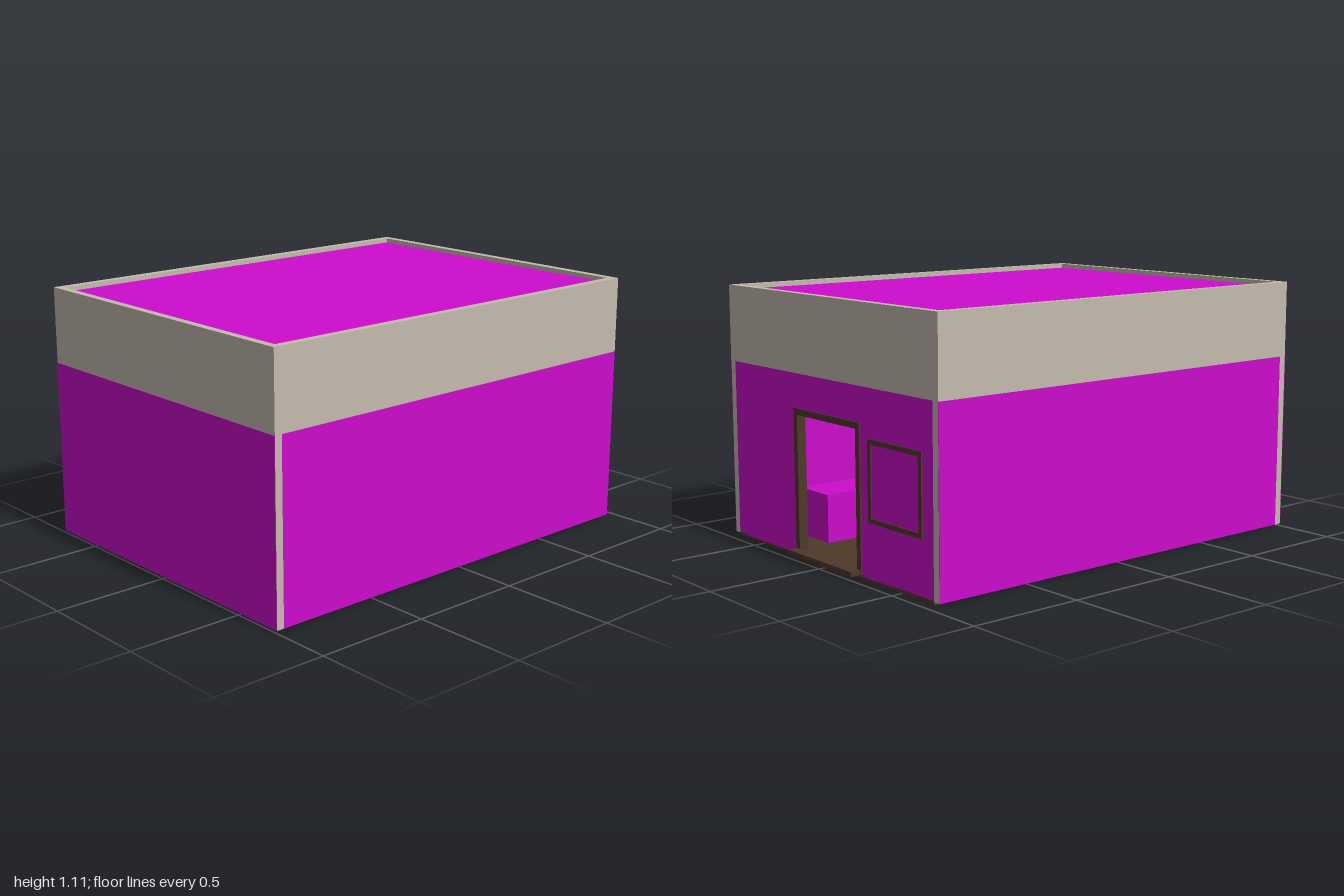
import * as THREE from 'three';

export function createModel() {
  const model = new THREE.Group();
  const mat = (name, color) => {
    const m = new THREE.MeshStandardMaterial({ color });
    m.name = name;
    return m;
  };
  const stone = mat('stone', 0xc4bbae);
  const magenta = mat('magenta', 0xcc0ccc);
  const wood = mat('darkWood', 0x4f382b);

  // Box given by its min and max on each axis
  const box = (name, material, x0, x1, y0, y1, z0, z1, parent = model) => {
    const mesh = new THREE.Mesh(new THREE.BoxGeometry(x1 - x0, y1 - y0, z1 - z0), material);
    mesh.position.set((x0 + x1) / 2, (y0 + y1) / 2, (z0 + z1) / 2);
    mesh.name = name;
    parent.add(mesh);
    return mesh;
  };

  const X = 0.735, XI = 0.70;               // outer and inner half width
  const F = 1.0, FI = 0.965;                // front wall faces
  const B = -0.95, BI = -0.915;             // back wall faces
  const Y0 = 0.01, BAND = 0.775, TOP = 1.105;
  const T = 0.002;                          // painted plate thickness

  // Floor slab and roof
  box('floor', wood, -XI, XI, 0, 0.015, B, FI);
  box('roof', magenta, -XI, XI, 1.065, 1.085, BI, FI);
  box('ceiling', magenta, -XI, XI, 0.61, 0.625, BI, FI);

  // Front wall with lower painted panel outside and inside
  box('frontWall', stone, -X, X, Y0, TOP, FI, F - T);
  box('frontPanel', magenta, -X, X, Y0, BAND, F - T, F);
  box('frontLining', magenta, -XI, XI, 0.015, 0.61, FI - T, FI);

  // Side walls, mirrored
  for (const s of [-1, 1]) {
    const side = new THREE.Group();
    side.name = s > 0 ? 'leftWall' : 'rightWall';
    const slab = (name, material, a, b, y0, y1, z0, z1) =>
      box(name, material, Math.min(s * a, s * b), Math.max(s * a, s * b), y0, y1, z0, z1, side);
    slab('sideWall', stone, XI, X - T, Y0, TOP, B, FI);
    slab('sidePanel', magenta, X - T, X, Y0, BAND, B, FI);
    slab('sideBand', stone, X - T, X, BAND, TOP, B, FI);
    slab('sideLining', magenta, XI - T, XI, 0.015, 0.61, BI, FI);
    model.add(side);
  }

  // Back wall: painted lower part with a door opening, stone band above
  const DW = 0.235, DT = 0.63;
  const wall = new THREE.Shape();
  [[-XI, Y0], [-DW, Y0], [-DW, DT], [DW, DT], [DW, Y0], [XI, Y0], [XI, BAND], [-XI, BAND]]
    .forEach(([x, y], i) => (i ? wall.lineTo(x, y) : wall.moveTo(x, y)));
  wall.closePath();
  const backWall = new THREE.Mesh(
    new THREE.ExtrudeGeometry(wall, { depth: BI - B, bevelEnabled: false }), magenta);
  backWall.position.z = B;
  backWall.name = 'backWall';
  model.add(backWall);
  box('backBand', stone, -XI, XI, BAND, TOP, B, BI);

  // Rectangular frame made from four bars
  const frame = (name, x0, x1, y0, y1, w, z0, z1, sill) => {
    const g = new THREE.Group();
    g.name = name;
    box('frameBarA', wood, x0, x0 + w, y0, y1, z0, z1, g);
    box('frameBarB', wood, x1 - w, x1, y0, y1, z0, z1, g);
    box('frameTop', wood, x0 + w, x1 - w, y1 - w, y1, z0, z1, g);
    if (sill) box('frameSill', wood, x0 + w, x1 - w, y0, y0 + w, z0, z1, g);
    model.add(g);
  };
  frame('doorFrame', -DW, DW, 0.015, DT, 0.027, B - 0.006, BI, false);
  frame('windowFrame', -0.635, -0.289, 0.24, 0.575, 0.02, B - 0.006, B, true);

  // Doorstep
  box('doorstep', wood, -0.23, 0.23, 0.015, 0.035, -1.0, B);

  // Counter inside the room
  box('counter', magenta, 0.277, 0.48, 0.015, 0.225, -0.767, 0.6);

  return model;
}
